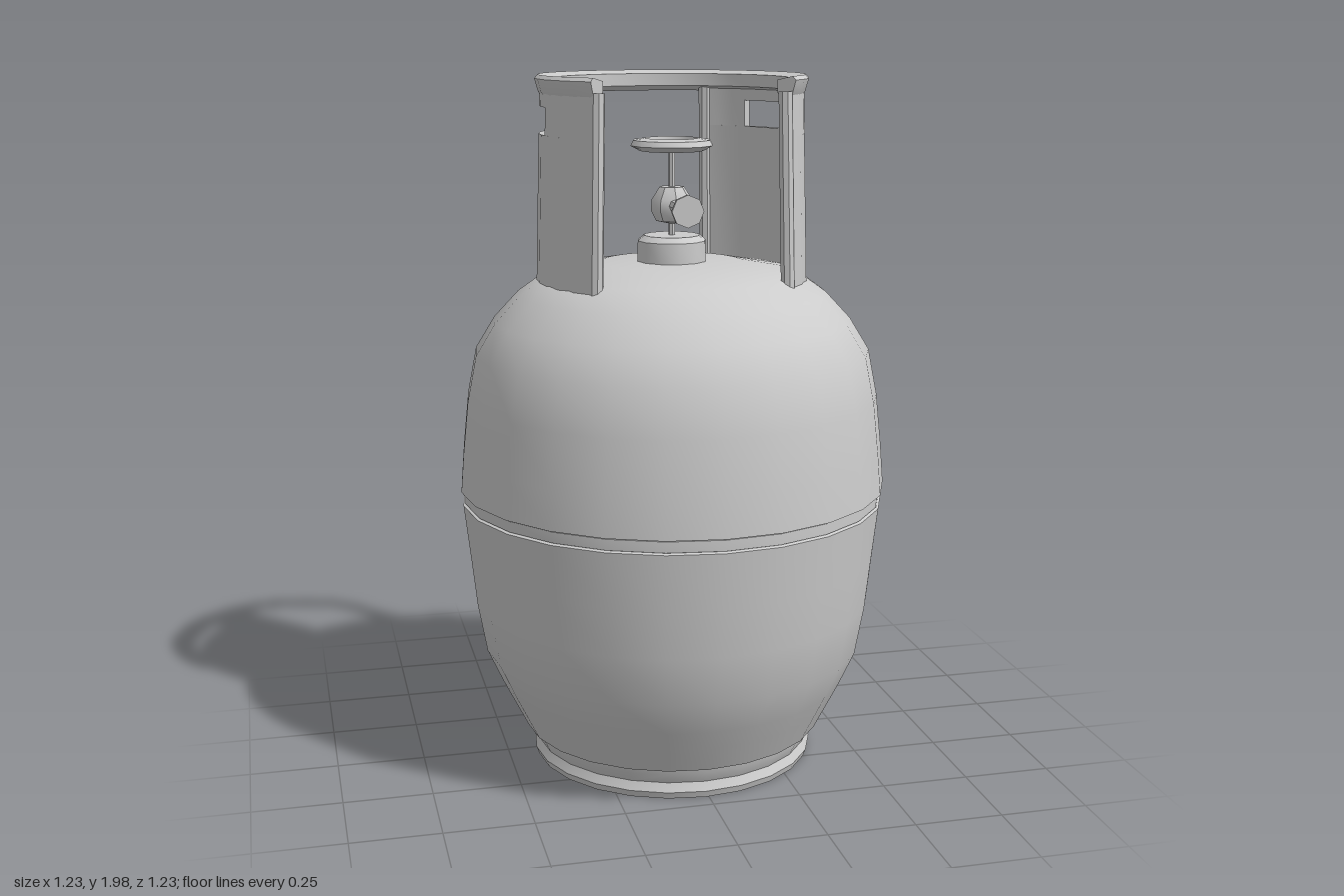
import * as THREE from 'three';
import { toCreasedNormals } from 'three/addons/utils/BufferGeometryUtils.js';

const material = new THREE.MeshStandardMaterial({ color: 0xcccccc, side: THREE.DoubleSide });
const rad = THREE.MathUtils.degToRad;

function add(parent, name, geometry, x = 0, y = 0, z = 0) {
  const mesh = new THREE.Mesh(toCreasedNormals(geometry, rad(35)), material);
  mesh.name = name;
  mesh.position.set(x, y, z);
  parent.add(mesh);
  return mesh;
}

// Revolved [radius, height] profile; angles in degrees, 0 = front
function revolve(points, segments = 24, from = 0, to = 360) {
  const profile = points.map(([r, y]) => new THREE.Vector2(r, y));
  return new THREE.LatheGeometry(profile, segments, rad(from), rad(to - from));
}

// Curved piece with a closed cross-section and flat end caps
function arcPiece(parent, name, points, from, to) {
  const loop = [...points, points[0]];
  add(parent, name, revolve(loop, Math.max(3, Math.round((to - from) / 10)), from, to));
  const section = new THREE.Shape(points.map(([r, y]) => new THREE.Vector2(r, y)));
  for (const angle of [from, to]) {
    const cap = add(parent, name + 'End', new THREE.ShapeGeometry(section));
    cap.rotation.y = rad(angle - 90);
  }
}

// Collar wall leaning slightly inwards towards the top
function wall(parent, name, y0, y1, from, to) {
  const outer = (y) => 0.383 - (y - 1.4) * 0.03;
  arcPiece(parent, name, [
    [outer(y0), y0], [outer(y1), y1], [outer(y1) - 0.025, y1], [outer(y0) - 0.025, y0],
  ], from, to);
}

export function createModel() {
  const model = new THREE.Group();
  model.name = 'gasCylinder';
  const axis = new THREE.Group();
  axis.name = 'cylinderParts';
  axis.position.set(-0.01, 0, 0.045);
  model.add(axis);

  // Tank halves and the weld joint between them
  add(axis, 'lowerShell', revolve([
    [0, 0.1], [0.3, 0.105], [0.435, 0.12], [0.475, 0.2], [0.505, 0.26], [0.55, 0.36],
    [0.575, 0.5], [0.59, 0.64], [0.608, 0.8], [0.595, 0.805],
  ]));
  add(axis, 'weldBand', revolve([
    [0.59, 0.8], [0.602, 0.805], [0.602, 0.835], [0.59, 0.845],
  ]));
  add(axis, 'upperShell', revolve([
    [0.59, 0.84], [0.613, 0.84], [0.604, 0.95], [0.588, 1.1], [0.562, 1.23],
    [0.507, 1.32], [0.437, 1.395], [0.36, 1.45], [0.2, 1.48], [0, 1.485],
  ]));

  // Foot ring with a rolled lower rim
  add(axis, 'footRing', revolve([
    [0.42, 0.13], [0.415, 0.1], [0.4, 0.07], [0.412, 0.045], [0.405, 0.025],
    [0.38, 0.025], [0.375, 0.06], [0.39, 0.13],
  ]));

  // Guard collar: two side panels, each with a hand slot
  const collar = new THREE.Group();
  collar.name = 'collar';
  axis.add(collar);
  const front = 47, slotFront = 82, slotBack = 128, back = 150;
  for (const side of [1, -1]) {
    const panel = new THREE.Group();
    panel.name = side > 0 ? 'leftPanel' : 'rightPanel';
    collar.add(panel);
    const span = (a, b) => (side > 0 ? [a, b] : [360 - b, 360 - a]);
    wall(panel, 'panelLower', 1.41, 1.84, ...span(front, back));
    wall(panel, 'panelUpperFront', 1.84, 1.96, ...span(front, slotFront));
    wall(panel, 'panelUpperBack', 1.84, 1.96, ...span(slotBack, back));
    wall(panel, 'panelSlotTop', 1.915, 1.96, ...span(slotFront, slotBack));
    // Rolled vertical edges
    for (const angle of [front, back]) {
      const a = rad(angle) * side;
      const at = (r, y) => new THREE.Vector3(r * Math.sin(a), y, r * Math.cos(a));
      const path = new THREE.LineCurve3(at(0.366, 1.41), at(0.35, 1.96));
      add(panel, 'panelEdge', new THREE.TubeGeometry(path, 1, 0.02, 8));
    }
  }

  // Carrying rim, open at the front, widening to a flat top
  arcPiece(collar, 'topRim', [
    [0.325, 1.955], [0.36, 1.94], [0.37, 1.955], [0.38, 1.99], [0.37, 2], [0.325, 1.99],
  ], front, 360 - front);

  // Valve on the tank axis
  const valve = new THREE.Group();
  valve.name = 'valve';
  axis.add(valve);
  add(valve, 'valveBoss', revolve([
    [0, 1.47], [0.1, 1.47], [0.098, 1.54], [0.08, 1.555], [0, 1.555],
  ], 12));
  add(valve, 'valveStem', new THREE.CylinderGeometry(0.009, 0.009, 0.27, 6), 0, 1.675, 0);
  add(valve, 'valveBody', revolve([
    [0, 1.585], [0.045, 1.595], [0.06, 1.625], [0.058, 1.655], [0.035, 1.69], [0, 1.69],
  ], 8));
  const outlet = add(valve, 'outlet', new THREE.CylinderGeometry(0.016, 0.02, 0.16, 8), 0, 1.64, 0.11);
  const flange = add(valve, 'outletFlange', new THREE.CylinderGeometry(0.045, 0.045, 0.012, 8), 0, 1.64, 0.185);
  outlet.rotation.x = flange.rotation.x = Math.PI / 2;

  // Handwheel with slim spokes
  add(valve, 'handwheelRim', revolve([
    [0.068, 1.8], [0.09, 1.79], [0.118, 1.805], [0.11, 1.82], [0.075, 1.825], [0.068, 1.8],
  ], 12));
  for (let i = 0; i < 3; i++) {
    const spoke = add(valve, 'handwheelSpoke', new THREE.BoxGeometry(0.15, 0.008, 0.01), 0, 1.806, 0);
    spoke.rotation.y = (i * Math.PI) / 3;
  }
  return model;
}
